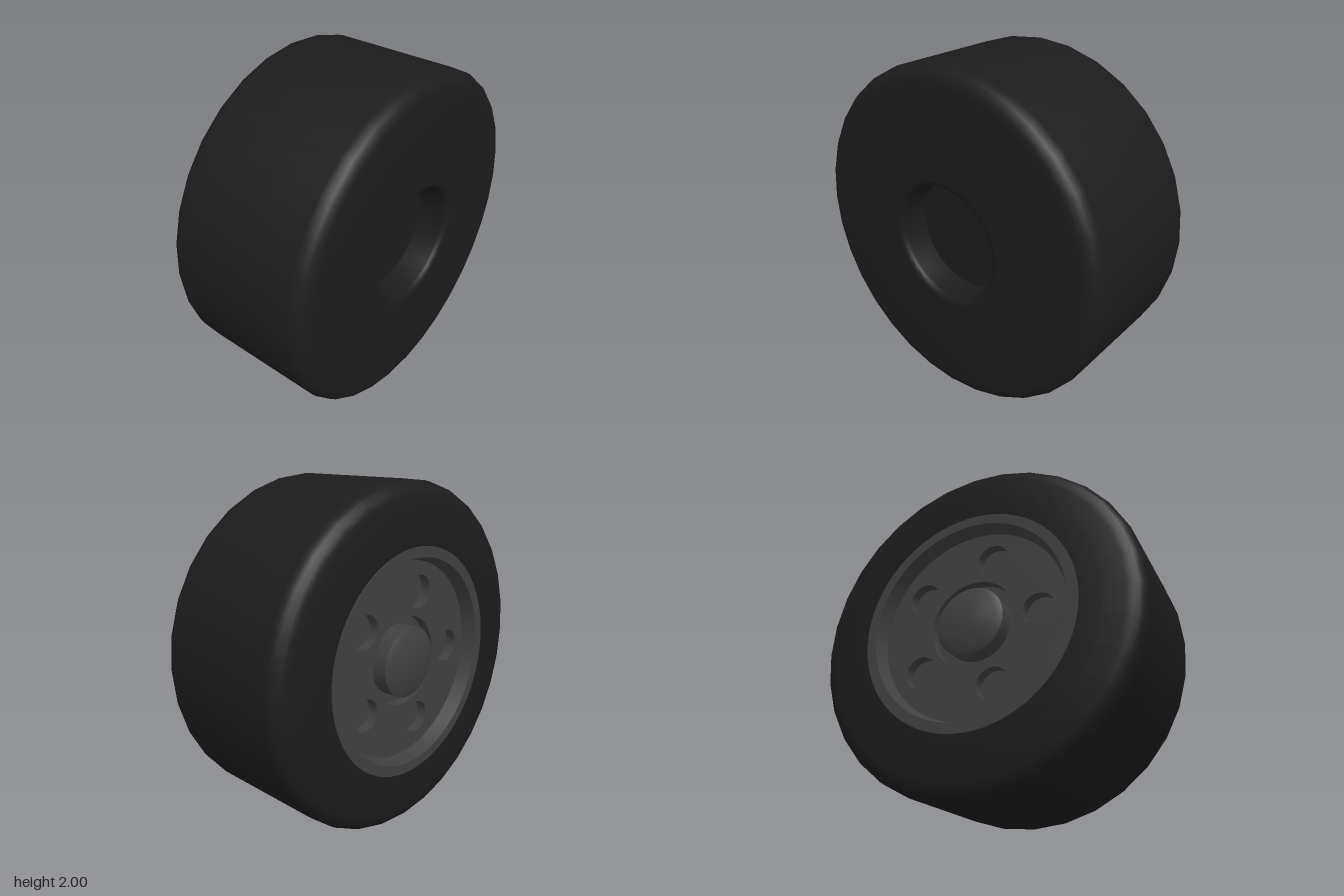
import * as THREE from 'three';
import { toCreasedNormals } from 'three/addons/utils/BufferGeometryUtils.js';

const rubber = new THREE.MeshStandardMaterial({ color: 0x1c1c1c });
const metal = new THREE.MeshStandardMaterial({ color: 0x404040 });

// Turned part about the x axle; profile points are [radius, x], from the -x side to the +x side
function turned(name, profile, segments, material) {
  const points = profile.map(([r, x]) => new THREE.Vector2(r, x));
  const geometry = toCreasedNormals(new THREE.LatheGeometry(points, segments), 0.6);
  geometry.rotateZ(-Math.PI / 2);
  const mesh = new THREE.Mesh(geometry, material);
  mesh.name = name;
  return mesh;
}

// Points [radius, x] along a quarter-round shoulder or edge
function arc(cr, cx, rr, rx, from, to, steps) {
  const out = [];
  for (let i = 0; i <= steps; i++) {
    const a = THREE.MathUtils.degToRad(from + ((to - from) * i) / steps);
    out.push([cr + rr * Math.sin(a), cx + rx * Math.cos(a)]);
  }
  return out;
}

export function createModel() {
  const wheel = new THREE.Group();
  wheel.name = 'wheel';
  wheel.position.y = 1;

  // Tyre: slightly bulged outer wall, flat tread, rounded shoulders, flat inner wall
  wheel.add(turned('tyre', [
    [0.62, -0.465], [0.78, -0.465],
    ...arc(0.9, -0.35, 0.1, 0.097, 180, 90, 5),
    ...arc(0.91, 0.382, 0.09, 0.09, 90, 0, 5),
    [0.38, 0.472],
  ], 32, rubber));

  // Axle recess on the inner side, with a rounded edge and a flat floor
  wheel.add(turned('axleRecess', [
    [0.385, 0.472],
    ...arc(0.375, 0.437, -0.035, 0.035, 0, 90, 4),
    [0.34, 0.28], [0, 0.28],
  ], 64, rubber));

  // Rim: tapered well and flat lip standing just proud of the tyre
  wheel.add(turned('rim', [
    [0.57, -0.39], [0.595, -0.472], [0.655, -0.472], [0.655, -0.455],
  ], 64, metal));

  // Wheel disc with a centre bore and five round holes
  const shape = new THREE.Shape().absarc(0, 0, 0.575, 0, Math.PI * 2, false);
  const addHole = (x, y, r) =>
    shape.holes.push(new THREE.Path().absarc(x, y, r, 0, Math.PI * 2, true));
  addHole(0, 0, 0.26);
  for (let i = 0; i < 5; i++) {
    const a = (i / 5) * Math.PI * 2;
    addHole(0.4 * Math.cos(a), 0.4 * Math.sin(a), 0.095);
  }
  const discGeometry = toCreasedNormals(
    new THREE.ExtrudeGeometry(shape, { depth: 0.06, bevelEnabled: false, curveSegments: 32 }), 0.6);
  const disc = new THREE.Mesh(discGeometry, metal);
  disc.name = 'wheelDisc';
  disc.rotation.y = -Math.PI / 2;
  disc.position.x = -0.33;
  wheel.add(disc);

  // Plate closing the holes from behind
  const plate = new THREE.Mesh(new THREE.CircleGeometry(0.575, 64), metal);
  plate.name = 'backPlate';
  plate.rotation.y = -Math.PI / 2;
  plate.position.x = -0.329;
  wheel.add(plate);

  // Hub cap with a chamfered front edge
  wheel.add(turned('hubCap', [
    [0, -0.445], [0.17, -0.445], [0.205, -0.425], [0.205, -0.325],
  ], 48, metal));

  const model = new THREE.Group();
  model.name = 'model';
  model.add(wheel);
  return model;
}
